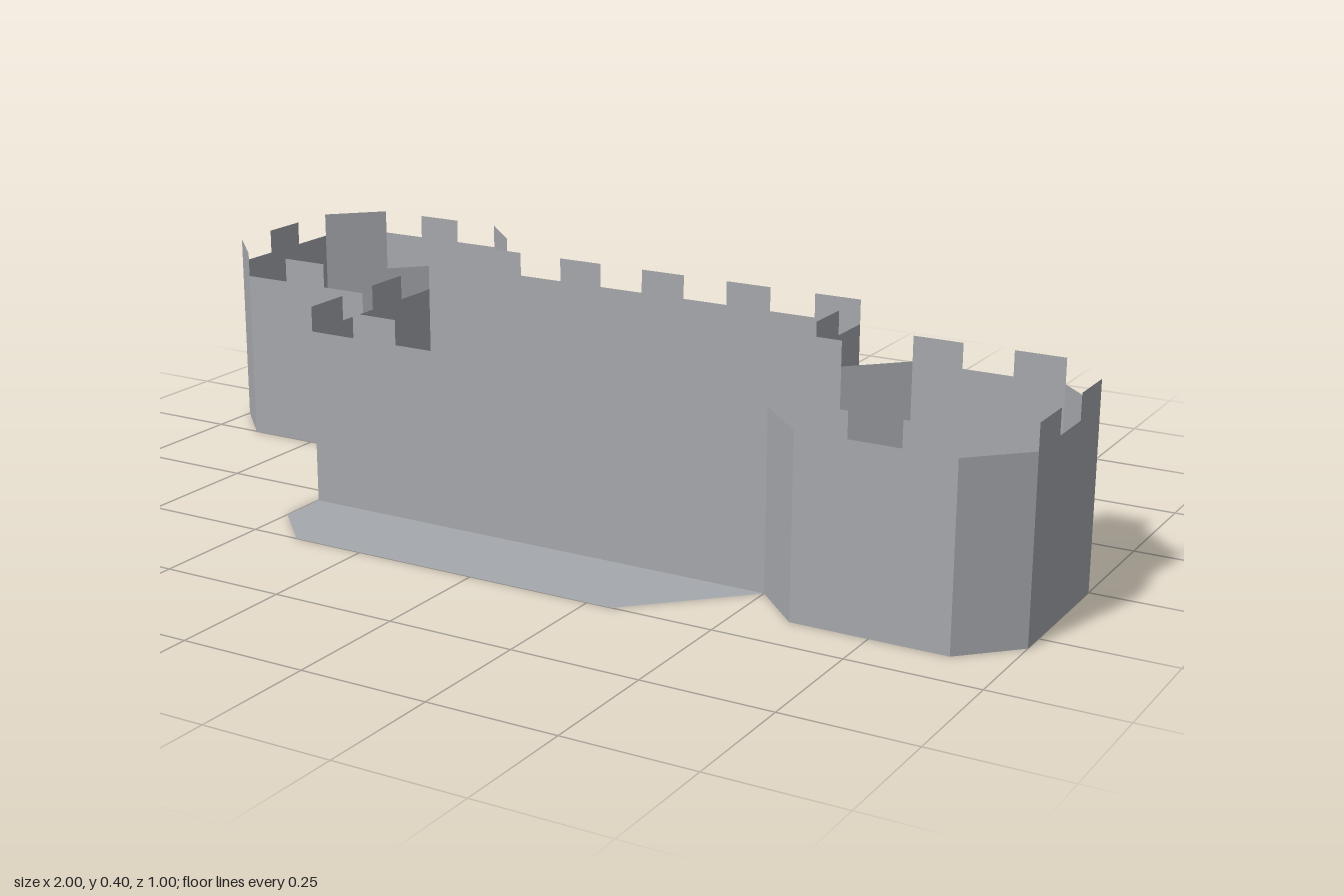
import * as THREE from 'three';

const STEP = 0.1, LOW = 0.35, HIGH = 0.4;

// Shape in plan: points are [x, z]; lies flat, facing up, after layFlat
const plan = (pts) => new THREE.Shape(pts.map(([x, z]) => new THREE.Vector2(x, -z)));
const layFlat = (shape, y) => new THREE.ShapeGeometry(shape).rotateX(-Math.PI / 2).translate(0, y, 0);

// Upright thin sheet over a path of [x, z] corners; heightAt gives the top of each panel
function sheet(path, heightAt, step = Infinity) {
  const pos = [];
  for (let i = 0; i < path.length - 1; i++) {
    const [ax, az] = path[i], [bx, bz] = path[i + 1];
    const diagonal = ax !== bx && az !== bz;
    const length = Math.hypot(bx - ax, bz - az);
    const n = diagonal ? 1 : Math.max(1, Math.round(length / step));
    for (let k = 0; k < n; k++) {
      const at = (t) => [ax + (bx - ax) * t, az + (bz - az) * t];
      const [px, pz] = at(k / n), [qx, qz] = at((k + 1) / n);
      const h = heightAt();
      pos.push(px, 0, pz, qx, 0, qz, qx, h, qz, px, 0, pz, qx, h, qz, px, h, pz);
    }
  }
  const geo = new THREE.BufferGeometry();
  geo.setAttribute('position', new THREE.Float32BufferAttribute(pos, 3));
  geo.computeVertexNormals();
  return geo;
}

export function createModel() {
  const group = new THREE.Group();
  const stone = new THREE.MeshStandardMaterial({ color: 0xa5a8ac, side: THREE.DoubleSide });
  stone.name = 'grey stone';
  const add = (name, geo) => {
    const mesh = new THREE.Mesh(geo, stone);
    mesh.name = name;
    group.add(mesh);
  };

  const rightTower = [[0.5, 0.3], [0.6, 0.4], [0.9, 0.4], [1, 0.3], [1, 0], [0.9, -0.1], [0.6, -0.1], [0.5, 0]];
  const backWall = [[0.5, 0], [0.4, 0], [0.4, -0.3], [-0.5, -0.3]];
  const leftTower = [[-0.5, -0.3], [-0.5, -0.4], [-0.6, -0.5], [-0.9, -0.5], [-1, -0.4],
    [-1, -0.1], [-0.9, 0], [-0.6, 0], [-0.5, -0.1]];

  // Battlements alternate low and high around the whole closed wall
  let panel = 0;
  const battlement = () => (panel++ % 2 ? HIGH : LOW);
  add('frontWall', sheet([[-0.5, 0.3], [0.5, 0.3]], battlement, STEP));
  add('eastTower', sheet(rightTower, battlement, STEP));
  add('backWall', sheet(backWall, battlement, STEP));
  add('westTower', sheet(leftTower, battlement, STEP));
  add('sideWall', sheet([[-0.5, -0.1], [-0.5, 0.3]], battlement, STEP));

  // Floor with the front terrace and a rectangular opening
  const opening = [[-0.4, 0.2], [0.3, 0.2], [0.3, -0.2], [-0.4, -0.2]];
  const terrace = [[-0.5, 0.4], [-0.4, 0.5], [0.3, 0.5]];
  const floor = plan([...terrace, ...rightTower, ...backWall.slice(1), ...leftTower.slice(1)]);
  floor.holes.push(plan(opening));
  add('floor', layFlat(floor, 0));

  // Raised platform over the opening, hollow underneath
  add('platformTop', layFlat(plan(opening), 0.1));
  add('platformSides', sheet([...opening, opening[0]], () => 0.1));

  return group;
}
